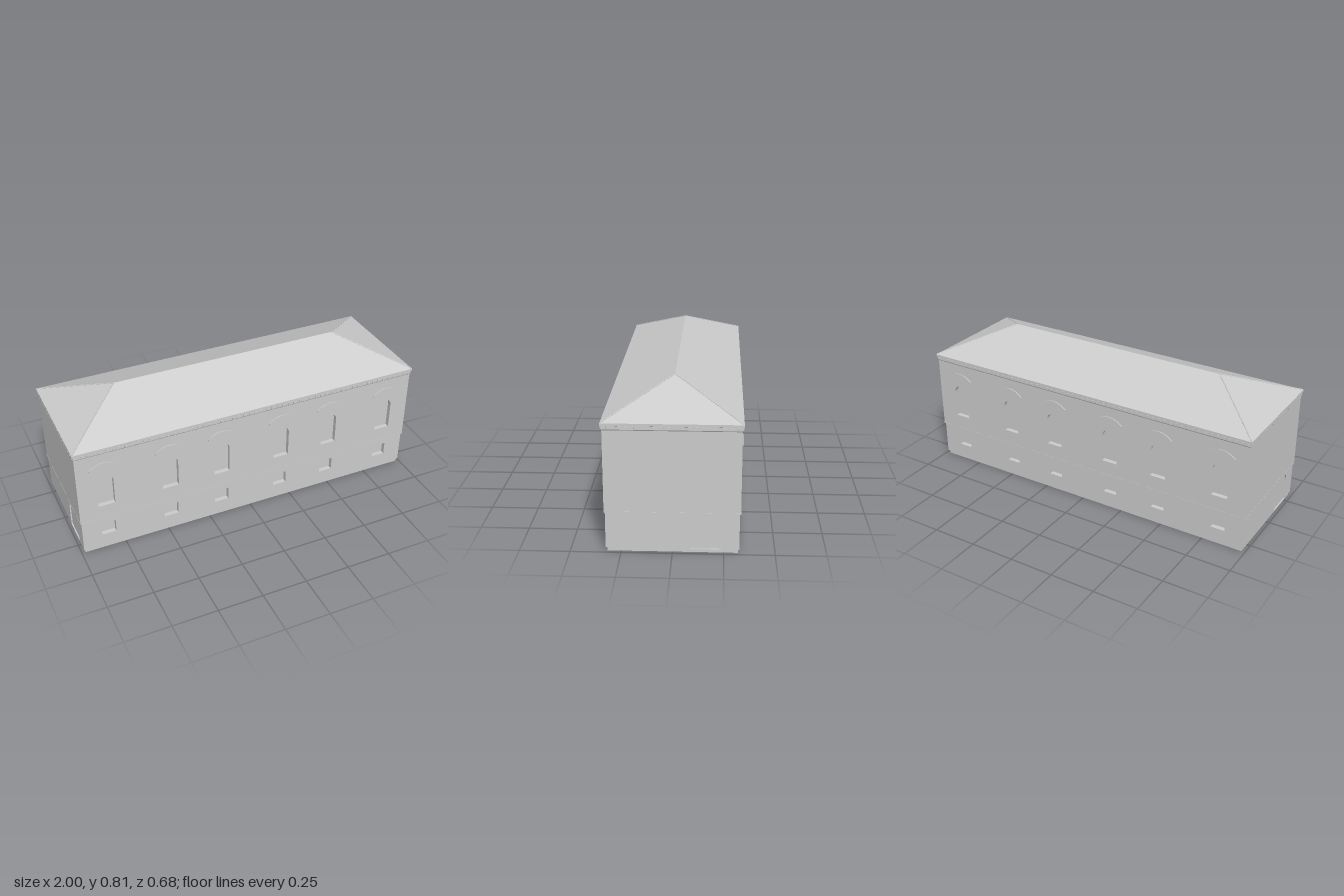
import * as THREE from 'three';
import { mergeGeometries } from 'three/addons/utils/BufferGeometryUtils.js';

const HX = 1, HZ = 0.339;               // half sizes at the eaves
const LOWER = -0.013, UPPER = -0.008, PLINTH = -0.02; // wall planes, offset from the eaves
const mat = new THREE.MeshStandardMaterial({ color: 0xcccccc, side: THREE.DoubleSide });

function mesh(name, geometry) {
  const m = new THREE.Mesh(geometry, mat);
  m.name = name;
  return m;
}

// Flat-shaded geometry from three- or four-cornered faces
function faces(list) {
  const pos = [];
  for (const f of list)
    for (let i = 1; i < f.length - 1; i++) pos.push(...f[0], ...f[i], ...f[i + 1]);
  const g = new THREE.BufferGeometry();
  g.setAttribute('position', new THREE.Float32BufferAttribute(pos, 3));
  g.computeVertexNormals();
  return g;
}

// Sweep a moulding profile of [offset, y] around the rectangular plan
function band(profile) {
  const signs = [[1, 1], [1, -1], [-1, -1], [-1, 1]], list = [];
  const at = (s, [o, y]) => [s[0] * (HX + o), y, s[1] * (HZ + o)];
  for (let i = 0; i < profile.length - 1; i++)
    signs.forEach((a, k) => {
      const b = signs[(k + 1) % 4];
      list.push([at(a, profile[i]), at(b, profile[i]), at(b, profile[i + 1]), at(a, profile[i + 1])]);
    });
  return faces(list);
}

// Outline of an opening, counter-clockwise; rise 0 gives a rectangle
function opening(cx, hw, y0, spring, rise) {
  const pts = [new THREE.Vector2(cx - hw, y0), new THREE.Vector2(cx + hw, y0)];
  const n = rise ? 16 : 1;
  for (let i = 0; i <= n; i++) {
    const a = (i / n) * Math.PI;
    pts.push(new THREE.Vector2(cx + hw * Math.cos(a), spring + rise * Math.sin(a)));
  }
  return pts;
}

// Jambs and back panel of a recessed opening
function recess(name, pts, z, depth) {
  const jambs = pts.map((p, i) => {
    const q = pts[(i + 1) % pts.length];
    return [[p.x, p.y, z - depth], [q.x, q.y, z - depth], [q.x, q.y, z], [p.x, p.y, z]];
  });
  const panel = new THREE.ShapeGeometry(new THREE.Shape(pts)).translate(0, 0, z - depth);
  const g = new THREE.Group();
  g.name = name;
  g.add(mesh('jambs', faces(jambs)), mesh('panel', panel));
  return g;
}

function wall(name, half, y0, y1, z, holes) {
  const s = new THREE.Shape([[-half, y0], [half, y0], [half, y1], [-half, y1]].map(p => new THREE.Vector2(...p)));
  s.holes = holes.map(h => new THREE.Path(h));
  return mesh(name, new THREE.ShapeGeometry(s).translate(0, 0, z));
}

// Curved hood above a window
function hood(cx, z) {
  const s = new THREE.Shape();
  s.moveTo(cx - 0.08, 0.532);
  s.quadraticCurveTo(cx, 0.576, cx + 0.08, 0.532);
  s.lineTo(cx + 0.08, 0.54);
  s.quadraticCurveTo(cx, 0.608, cx - 0.08, 0.54);
  const g = new THREE.ExtrudeGeometry(s, { depth: 0.005, bevelEnabled: false, curveSegments: 14 });
  return mesh('windowHood', g.translate(0, 0, z));
}

// Long facade with two rows of windows
function facade() {
  const g = new THREE.Group();
  const xs = [-0.84, -0.48, -0.18, 0.18, 0.48, 0.84];
  const tall = xs.map(x => opening(x, 0.046, 0.295, 0.445, 0.046));
  const small = xs.map(x => opening(x, 0.04, 0.095, 0.17, 0));
  const zu = HZ + UPPER, zl = HZ + LOWER;
  g.add(wall('upperWall', HX + UPPER, 0.212, 0.628, zu, tall));
  g.add(wall('lowerWall', HX + LOWER, 0.02, 0.212, zl, small));
  tall.forEach(p => g.add(recess('archedWindow', p, zu, 0.025)));
  small.forEach(p => g.add(recess('lowerWindow', p, zl, 0.025)));
  xs.forEach(x => g.add(hood(x, zu)));
  return g;
}

// Short end wall with a shallow arched gateway
function endWall() {
  const g = new THREE.Group();
  const zl = HX + LOWER, half = HZ + LOWER;
  const gate = opening(0.165, 0.075, 0.02, 0.145, 0.058);
  const outline = [[-half, 0.02], [0.09, 0.02]].map(p => new THREE.Vector2(...p));
  outline.push(...gate.slice(2).reverse(), gate[1]);
  outline.push(...[[half, 0.02], [half, 0.212], [-half, 0.212]].map(p => new THREE.Vector2(...p)));
  g.add(mesh('lowerWall', new THREE.ShapeGeometry(new THREE.Shape(outline)).translate(0, 0, zl)));
  g.add(recess('gateway', gate, zl, LOWER - PLINTH));
  g.add(wall('upperWall', HZ + UPPER, 0.212, 0.628, HX + UPPER, []));
  return g;
}

// Row of small blocks under the eaves on all four sides
function dentils() {
  const list = [], pitch = 0.0333;
  const block = (x, z, turned) => list.push(
    new THREE.BoxGeometry(turned ? 0.006 : 0.011, 0.014, turned ? 0.011 : 0.006).translate(x, 0.642, z));
  for (const s of [-1, 1]) {
    for (let i = 0; i < 60; i++) block((i - 29.5) * pitch, s * (HZ - 0.004), false);
    for (let i = 0; i < 20; i++) block(s * (HX - 0.004), (i - 9.5) * pitch, true);
  }
  return mergeGeometries(list);
}

// Hipped roof
function roof() {
  const e = 0.665, t = 0.81, r = 0.655;
  const A = [-HX, e, HZ], B = [HX, e, HZ], C = [HX, e, -HZ], D = [-HX, e, -HZ];
  const L = [-r, t, 0], R = [r, t, 0];
  const g = new THREE.Group();
  g.name = 'roof';
  g.add(mesh('roofSlopes', faces([[A, B, R, L], [B, C, R], [C, D, L, R], [D, A, L]])));
  // thin caps along the hips
  for (const [a, b] of [[A, L], [B, R], [C, R], [D, L]]) {
    const p = new THREE.Vector3(...a), q = new THREE.Vector3(...b);
    p.lerp(q, 0.01);
    g.add(mesh('hipCap', new THREE.TubeGeometry(new THREE.LineCurve3(p, q), 1, 0.003, 6)));
  }
  return g;
}

export function createModel() {
  const model = new THREE.Group();
  model.name = 'building';
  [['frontFacade', facade, 0], ['backFacade', facade, Math.PI],
    ['leftEnd', endWall, Math.PI / 2], ['rightEnd', endWall, -Math.PI / 2]].forEach(([name, make, turn]) => {
    const g = make();
    g.name = name;
    g.rotation.y = turn;
    model.add(g);
  });
  model.add(mesh('plinth', band([[PLINTH, 0], [PLINTH, 0.02], [LOWER, 0.02]])));
  model.add(mesh('stringCourse', band([[LOWER, 0.209], [UPPER + 0.001, 0.209], [UPPER + 0.001, 0.214], [UPPER, 0.214]])));
  model.add(mesh('cornice', band([[UPPER, 0.628], [-0.005, 0.633], [-0.005, 0.65], [0, 0.652], [0, 0.665]])));
  model.add(mesh('dentils', dentils()));
  model.add(roof());
  return model;
}
